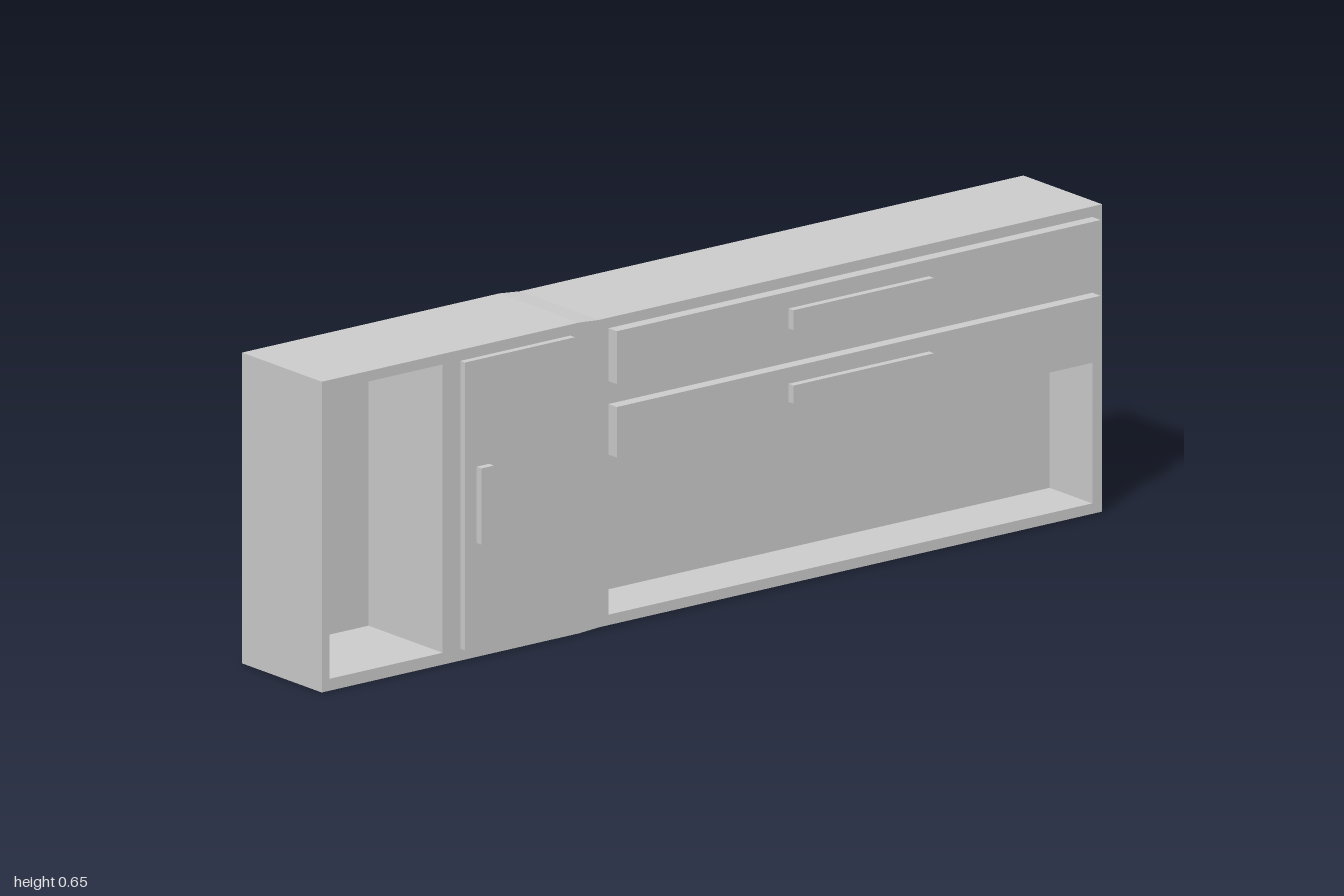
import * as THREE from 'three';

const FRONT = 0.108;
const material = new THREE.MeshStandardMaterial({ color: 0xcccccc, flatShading: true });

// Cross-sections along x; the right-hand unit is very slightly smaller.
const SECTIONS = [
  { x: -1, y0: 0, y1: 0.652, back: -0.15 },
  { x: -0.34, y0: 0, y1: 0.652, back: -0.15 },
  { x: -0.29, y0: 0.003, y1: 0.648, back: -0.146 },
  { x: 1, y0: 0.003, y1: 0.648, back: -0.146 },
];

const NICHES = [
  { name: 'tallNiche', x0: -0.98, x1: -0.69, y0: 0.025, y1: 0.63, depth: 0.24 },
  { name: 'wideNiche', x0: -0.265, x1: 0.975, y0: 0.025, y1: 0.32, depth: 0.138 },
];

function addMesh(group, name, geometry) {
  const mesh = new THREE.Mesh(geometry, material);
  mesh.name = name;
  group.add(mesh);
}

// Box given by its limits on each axis
function block(x0, x1, y0, y1, z0, z1) {
  return new THREE.BoxGeometry(x1 - x0, y1 - y0, z1 - z0)
    .translate((x0 + x1) / 2, (y0 + y1) / 2, (z0 + z1) / 2);
}

// Top, back, bottom and end walls lofted through the cross-sections
function carcassGeometry() {
  const positions = [];
  const quad = (a, b, c, d) => [a, b, c, a, c, d].forEach((p) => positions.push(...p));
  const loops = SECTIONS.map(({ x, y0, y1, back }) => [
    [x, y1, FRONT], [x, y1, back], [x, y0, back], [x, y0, FRONT],
  ]);
  for (let i = 0; i < loops.length - 1; i++) {
    const a = loops[i], b = loops[i + 1];
    for (let j = 0; j < 3; j++) quad(a[j], b[j], b[j + 1], a[j + 1]);
  }
  const first = loops[0], last = loops[loops.length - 1];
  quad(...first);
  quad(...[...last].reverse());
  const geometry = new THREE.BufferGeometry();
  geometry.setAttribute('position', new THREE.Float32BufferAttribute(positions, 3));
  geometry.computeVertexNormals();
  return geometry;
}

// Flat front with openings for the niches
function faceFrameGeometry() {
  const bottom = SECTIONS.map((s) => new THREE.Vector2(s.x, s.y0));
  const top = SECTIONS.map((s) => new THREE.Vector2(s.x, s.y1)).reverse();
  const shape = new THREE.Shape([...bottom, ...top]);
  for (const { x0, x1, y0, y1 } of NICHES) {
    shape.holes.push(new THREE.Path([
      new THREE.Vector2(x0, y0), new THREE.Vector2(x0, y1),
      new THREE.Vector2(x1, y1), new THREE.Vector2(x1, y0),
    ]));
  }
  return new THREE.ShapeGeometry(shape).translate(0, 0, FRONT);
}

// Box turned inside out, with its front side left open
function nicheGeometry({ x0, x1, y0, y1, depth }) {
  const geometry = block(x0, x1, y0, y1, FRONT - depth, FRONT);
  const index = Array.from(geometry.index.array);
  index.splice(24, 6);
  geometry.setIndex(index.reverse());
  geometry.computeVertexNormals();
  return geometry;
}

export function createModel() {
  const group = new THREE.Group();
  group.name = 'sideboard';

  addMesh(group, 'carcass', carcassGeometry());
  addMesh(group, 'faceFrame', faceFrameGeometry());
  for (const niche of NICHES) addMesh(group, niche.name, nicheGeometry(niche));

  // Door and its upright handle
  addMesh(group, 'door', block(-0.645, -0.363, 0.025, 0.629, FRONT, 0.123));
  addMesh(group, 'doorHandle', block(-0.615, -0.583, 0.245, 0.405, 0.123, 0.139));

  // Two drawers with long bar handles
  const drawers = [
    { name: 'upperDrawer', y: [0.515, 0.626], handle: [0.549, 0.591] },
    { name: 'lowerDrawer', y: [0.361, 0.467], handle: [0.395, 0.433] },
  ];
  for (const { name, y, handle } of drawers) {
    addMesh(group, name, block(-0.265, 0.975, ...y, FRONT, 0.135));
    addMesh(group, name + 'Handle', block(0.175, 0.535, ...handle, 0.135, 0.151));
  }
  return group;
}
